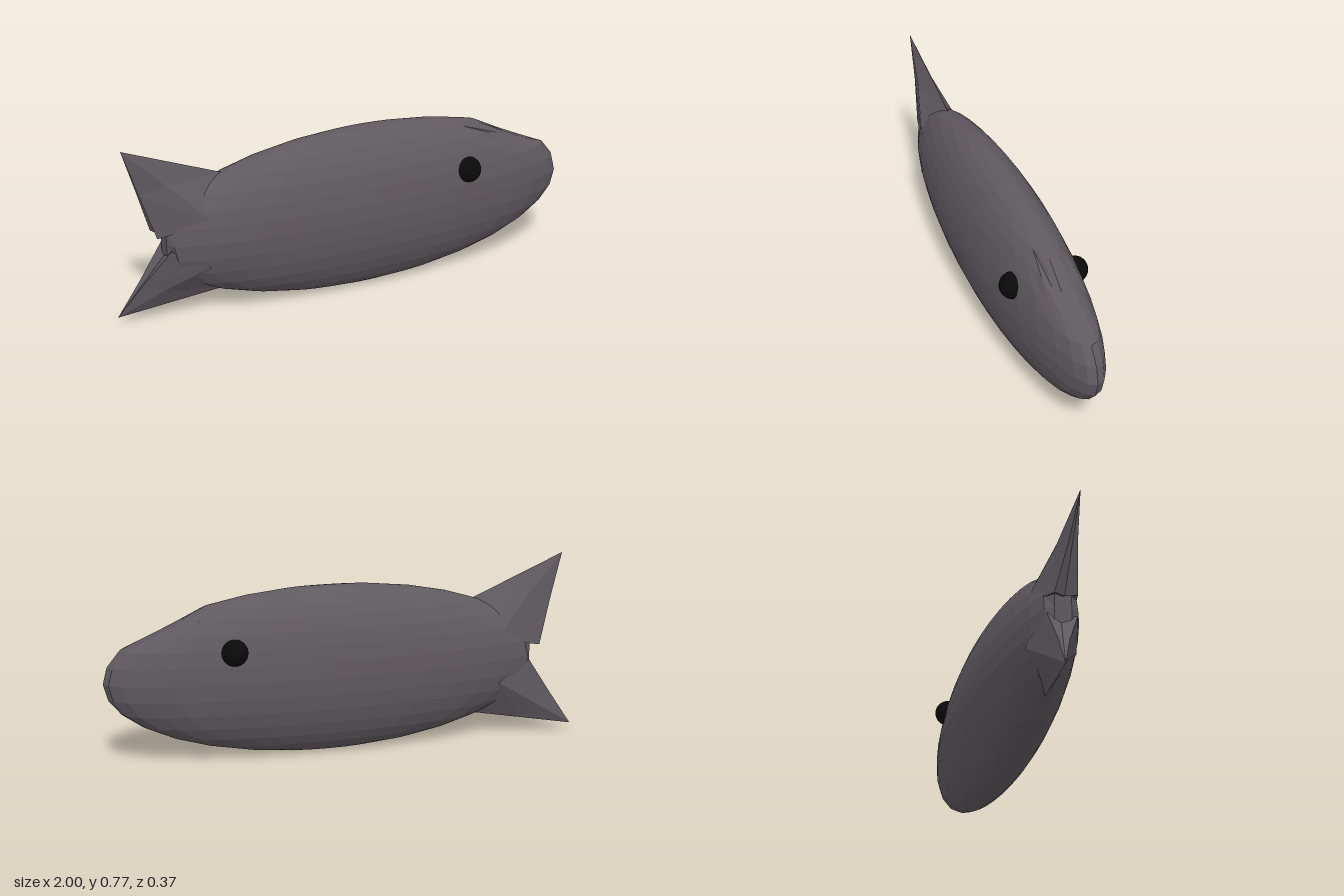
import * as THREE from 'three';

const skin = new THREE.MeshStandardMaterial({ color: 0x5f5960, flatShading: true, side: THREE.DoubleSide });
const eyeBlack = new THREE.MeshStandardMaterial({ color: 0x0a0a0a });

// Flattened ellipsoid with a dented brow and a blunt rear end
function makeBody() {
  const geo = new THREE.SphereGeometry(1, 32, 16);
  geo.scale(0.93, 0.35, 0.172).translate(0.07, 0.35, 0);
  const p = geo.attributes.position;
  for (let i = 0; i < p.count; i++) {
    const x = p.getX(i), y = p.getY(i), z = p.getZ(i);
    if (x > 0.62 && x < 0.9 && y > 0.5) {
      p.setY(i, y - 0.03 * Math.max(0, 1 - Math.abs(z) / 0.12));
    }
    if (x < -0.81) p.setX(i, -0.81);
  }
  geo.computeVertexNormals();
  const mesh = new THREE.Mesh(geo, skin);
  mesh.name = 'body';
  return mesh;
}

// Tail lobe: a ring on the body, a pinched ring half way, and a pointed tip
function makeLobe(name, front, side, rear, tip) {
  const [fx, fy] = front, [sx, sy, sz] = side, [rx, ry, rz] = rear;
  const ring = [
    [fx, fy, 0], [sx, sy, sz], [rx, ry, rz],
    [rx + 0.02, ry, 0], [rx, ry, -rz], [sx, sy, -sz],
  ].map(a => new THREE.Vector3(...a));
  const apex = new THREE.Vector3(...tip);
  const mid = ring.map(v => {
    const m = v.clone().lerp(apex, 0.5);
    m.z = v.z * 0.38 + apex.z * 0.5;
    return m;
  });
  const centre = ring.reduce((s, v) => s.add(v), new THREE.Vector3()).divideScalar(6);
  // The turning direction of the ring flips between the upper and lower lobe
  const flip = tip[1] > centre.y;
  const pos = [];
  const tri = (a, b, c) => {
    for (const v of flip ? [a, b, c] : [a, c, b]) pos.push(v.x, v.y, v.z);
  };
  for (let i = 0; i < 6; i++) {
    const j = (i + 1) % 6;
    tri(ring[i], mid[j], ring[j]);
    tri(ring[i], mid[i], mid[j]);
    tri(mid[i], apex, mid[j]);
    tri(ring[i], ring[j], centre);
  }
  // Put the faces outward: a closed shell has positive signed volume
  let volume = 0;
  const a = new THREE.Vector3(), b = new THREE.Vector3(), c = new THREE.Vector3();
  for (let i = 0; i < pos.length; i += 9) {
    volume += a.fromArray(pos, i).dot(b.fromArray(pos, i + 3).cross(c.fromArray(pos, i + 6)));
  }
  if (volume < 0) {
    for (let i = 0; i < pos.length; i += 9) {
      for (let k = 0; k < 3; k++) {
        [pos[i + 3 + k], pos[i + 6 + k]] = [pos[i + 6 + k], pos[i + 3 + k]];
      }
    }
  }
  const geo = new THREE.BufferGeometry();
  geo.setAttribute('position', new THREE.Float32BufferAttribute(pos, 3));
  geo.computeVertexNormals();
  const mesh = new THREE.Mesh(geo, skin);
  mesh.name = name;
  return mesh;
}

export function createModel() {
  const fish = new THREE.Group();
  fish.name = 'fish';
  fish.add(makeBody());

  // Forked tail, with the two tips bent to opposite sides
  fish.add(makeLobe('upperTailLobe', [-0.56, 0.605], [-0.63, 0.44, 0.1], [-0.85, 0.39, 0.045], [-0.97, 0.77, 0.025]));
  fish.add(makeLobe('lowerTailLobe', [-0.56, 0.1], [-0.65, 0.25, 0.1], [-0.8, 0.33, 0.06], [-1, 0.03, -0.055]));

  // Bulging eyes, half sunk into the head
  for (const s of [1, -1]) {
    const eye = new THREE.Mesh(new THREE.SphereGeometry(0.054, 24, 16), eyeBlack);
    eye.position.set(0.49, 0.475, s * 0.13);
    eye.name = s > 0 ? 'frontEye' : 'backEye';
    fish.add(eye);
  }
  return fish;
}
